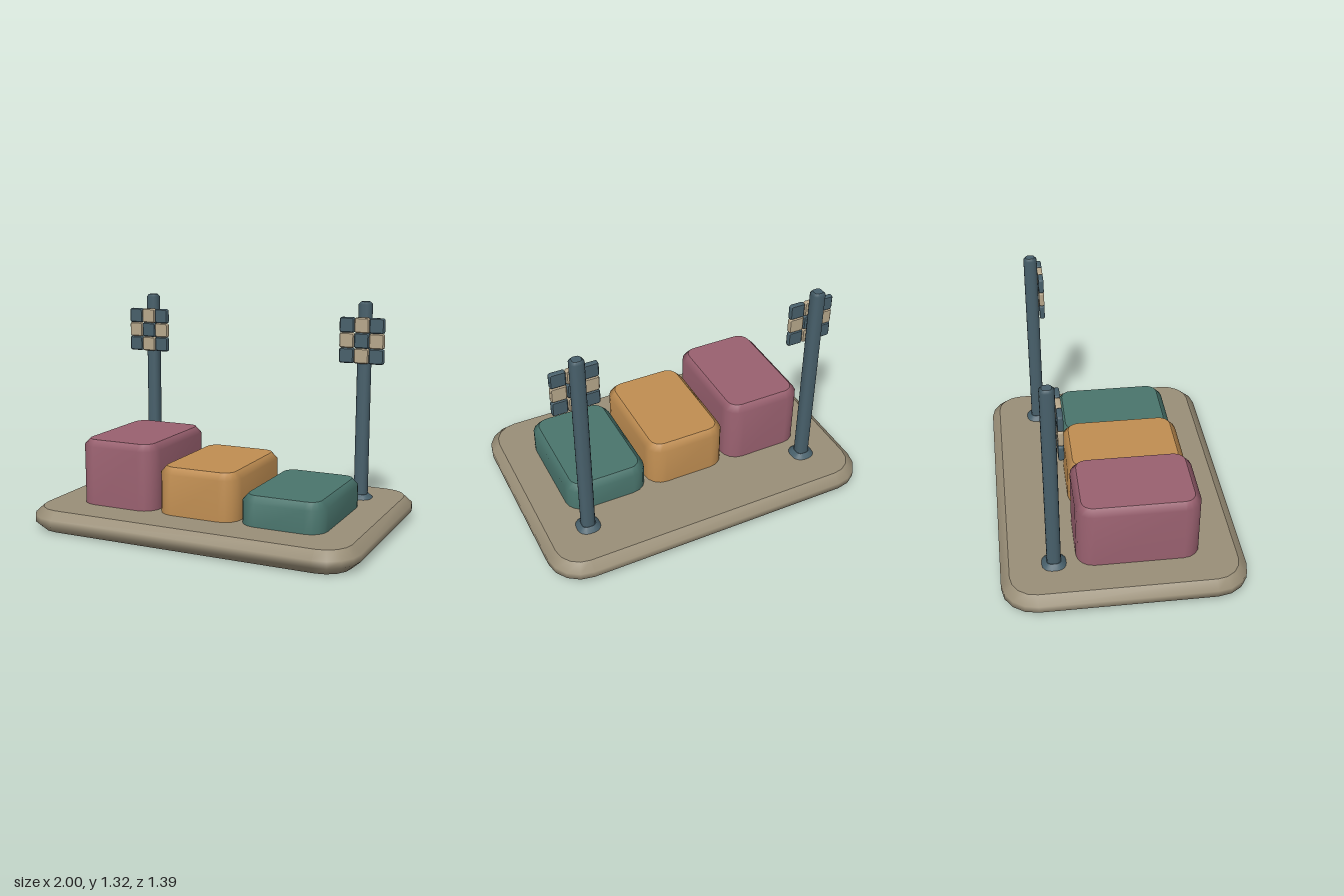
import * as THREE from 'three';

const material = (name, color) => {
  const m = new THREE.MeshStandardMaterial({ color });
  m.name = name;
  return m;
};

// Points of a rounded rectangle, counter-clockwise seen from above
function outline(w, d, r, steps) {
  const pts = [];
  const corners = [[1, -1], [-1, -1], [-1, 1], [1, 1]];
  corners.forEach(([sx, sz], k) => {
    for (let i = 0; i <= steps; i++) {
      const a = (k + i / steps) * Math.PI / 2;
      pts.push([sx * (w / 2 - r) + r * Math.cos(a), sz * (d / 2 - r) - r * Math.sin(a)]);
    }
  });
  return pts;
}

// Solid stacked from rounded rectangles; each ring is [y, inset].
// Walls are smooth, the end caps are flat.
function slab(w, d, r, rings, steps = 4) {
  const pos = [], idx = [];
  const loops = rings.map(([y, inset]) =>
    outline(w - 2 * inset, d - 2 * inset, Math.max(r - inset, 0.002), steps).map(([x, z]) => [x, y, z]));
  const n = loops[0].length;
  loops.forEach(loop => loop.forEach(p => pos.push(...p)));
  for (let i = 0; i < loops.length - 1; i++) {
    for (let j = 0; j < n; j++) {
      const a = i * n + j, b = i * n + (j + 1) % n;
      idx.push(a, b, b + n, a, b + n, a + n);
    }
  }
  [[loops[0], false], [loops[loops.length - 1], true]].forEach(([loop, up]) => {
    const c = pos.length / 3;
    pos.push(0, loop[0][1], 0);
    loop.forEach(p => pos.push(...p));
    for (let j = 0; j < n; j++) {
      const a = c + 1 + j, b = c + 1 + (j + 1) % n;
      idx.push(c, up ? a : b, up ? b : a);
    }
  });
  const g = new THREE.BufferGeometry();
  g.setAttribute('position', new THREE.Float32BufferAttribute(pos, 3));
  g.setIndex(idx);
  g.computeVertexNormals();
  return g;
}

export function createModel() {
  const stone = material('stone', 0x9a8f78);
  const plum = material('plum', 0x9a6170);
  const amber = material('amber', 0xc08e52);
  const teal = material('teal', 0x4a756d);
  const slate = material('slate', 0x48606b);
  const cream = material('cream', 0xb8a88c);

  const model = new THREE.Group();
  model.name = 'podium';
  const add = (parent, name, geometry, mat, x = 0, y = 0, z = 0) => {
    const mesh = new THREE.Mesh(geometry, mat);
    mesh.name = name;
    mesh.position.set(x, y, z);
    parent.add(mesh);
    return mesh;
  };

  // Base plate with bevelled rim
  add(model, 'basePlate',
    slab(2, 1.39, 0.2, [[0, 0.05], [0.045, 0], [0.085, 0], [0.13, 0.05]]), stone);

  // Three steps, falling from the model's right to its left
  [['tallStep', -0.515, 0.517, plum], ['middleStep', 0, 0.405, amber], ['lowStep', 0.513, 0.3, teal]]
    .forEach(([name, x, top, mat]) => add(model, name,
      slab(0.497, 0.705, 0.1, [[0.12, 0], [top - 0.038, 0], [top, 0.035]]), mat, x, 0, 0.088));

  // Two posts, each with a foot and a chequered panel
  const footGeo = slab(0.138, 0.138, 0.055, [[0.125, 0], [0.133, 0], [0.156, 0.028]]);
  const postGeo = slab(0.08, 0.08, 0.032, [[0.13, 0], [1.3, 0], [1.315, 0.014]]);
  const tileGeo = slab(0.09, 0.09, 0.012,
    [[-0.015, 0.006], [-0.009, 0], [0.009, 0], [0.015, 0.006]], 2);
  for (const side of [-1, 1]) {
    const marker = new THREE.Group();
    marker.name = side > 0 ? 'leftMarker' : 'rightMarker';
    marker.position.set(side * 0.712, 0, -0.392);
    model.add(marker);
    add(marker, 'foot', footGeo, slate);
    add(marker, 'post', postGeo, slate);
    for (let row = -1; row <= 1; row++) {
      for (let col = -1; col <= 1; col++) {
        const dark = (row + col) % 2 === 0;
        const tile = add(marker, dark ? 'darkTile' : 'lightTile', tileGeo,
          dark ? slate : cream, col * 0.091, 1.09 + row * 0.09, 0.055);
        tile.rotation.x = Math.PI / 2;
      }
    }
  }
  return model;
}
